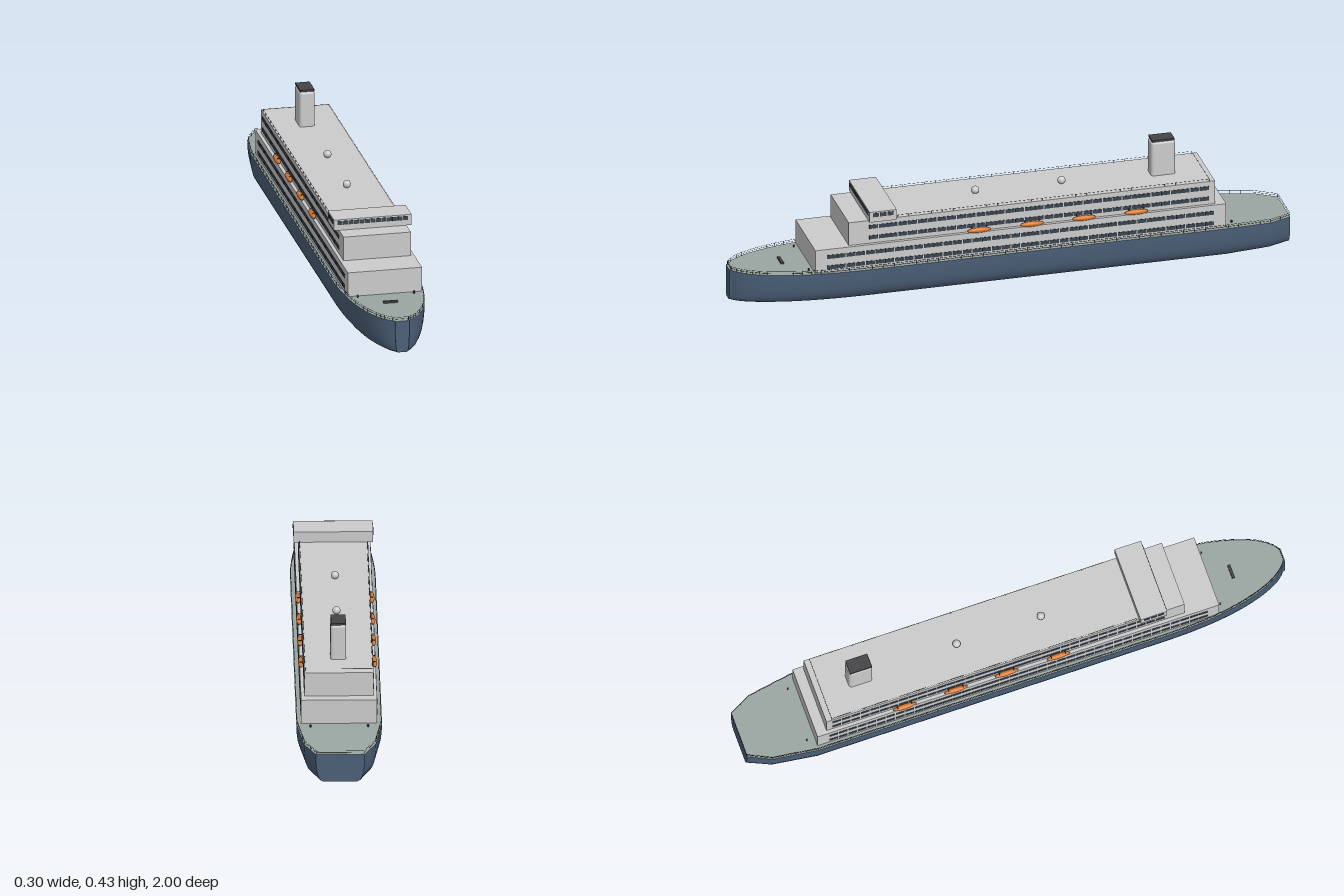
import * as THREE from 'three';
import { mergeGeometries } from 'three/addons/utils/BufferGeometryUtils.js';
import { RoundedBoxGeometry } from 'three/addons/geometries/RoundedBoxGeometry.js';

const mat = (color, side = THREE.FrontSide) => new THREE.MeshStandardMaterial({ color, side });
const grey = mat(0xcccccc);
const hullBlue = mat(0x4c6078);
const deckGreen = mat(0x9aa6a2);
const glass = mat(0x39444f);
const dark = mat(0x444448);
const orange = mat(0xd9772b);

// Half-beam and deck height along the length
const BOW = 0.5;
function beam(z) {
  if (z > BOW) return Math.max(0.025, 0.149 * Math.sqrt(1 - Math.pow((z - BOW) / (1 - BOW), 2.3)));
  if (z < -0.92) return 0.085 + (z + 1) / 0.08 * 0.04;
  if (z < -0.76) return 0.125 + (z + 0.92) / 0.16 * 0.024;
  return 0.149;
}
const deckY = (z) => (z < -0.76 ? 0.115 - (-0.76 - z) / 0.24 * 0.013 : 0.115);

// Section from the keel up to the deck edge: fraction of beam, fraction of depth
const SECTION = [[0.7, 0], [0.8, 0.04], [0.88, 0.15], [0.93, 0.28], [0.965, 0.45], [0.99, 0.7], [1, 1]];
const stations = [-1, -0.96, -0.92, -0.84, -0.76, -0.4, 0, 0.3];
for (let i = 0; i <= 24; i++) stations.push(BOW + (1 - BOW) * Math.sin(i / 24 * Math.PI / 2));

function hullSection(z) {
  const half = SECTION.map(([u, v]) => [u * beam(z), v * deckY(z)]);
  return [...half.slice().reverse(), ...half.map(([x, y]) => [-x, y])];
}

// Surface through a row of points at every station
function loft(rowAt) {
  const pos = [], index = [];
  stations.forEach((z, i) => {
    const row = rowAt(z), n = row.length;
    row.forEach(([x, y], j) => {
      pos.push(x, y, z);
      if (i && j) {
        const d = i * n + j, c = d - 1, b = d - n, a = b - 1;
        index.push(a, c, b, b, c, d);
      }
    });
  });
  const g = new THREE.BufferGeometry();
  g.setAttribute('position', new THREE.Float32BufferAttribute(pos, 3));
  g.setIndex(index);
  g.computeVertexNormals();
  return g;
}

function sectionCap(z) {
  return new THREE.ShapeGeometry(new THREE.Shape(hullSection(z).map(([x, y]) => new THREE.Vector2(x, y))));
}

const box = (w, h, d, x, y, z) => new THREE.BoxGeometry(w, h, d).translate(x, y, z);

// Railing: posts and horizontal bars along a polyline
function railing(points, height, levels, radius) {
  const parts = [];
  const bar = (a, b) => parts.push(new THREE.TubeGeometry(new THREE.LineCurve3(a, b), 1, radius, 4));
  const up = (p, h) => p.clone().setY(p.y + h);
  points.forEach((p, i) => {
    bar(p, up(p, height));
    if (i) for (const l of levels) bar(up(points[i - 1], height * l), up(p, height * l));
  });
  return mergeGeometries(parts);
}

export function createModel() {
  const ship = new THREE.Group();
  const add = (name, geometry, material = grey, parent = ship) => {
    const m = new THREE.Mesh(geometry, material);
    m.name = name;
    parent.add(m);
    return m;
  };

  // Hull
  add('hullShell', loft(hullSection), hullBlue);
  add('stem', sectionCap(1).translate(0, 0, 1), hullBlue);
  add('transom', sectionCap(-1).rotateY(Math.PI).translate(0, 0, -1), hullBlue);
  add('mainDeck', loft((z) => [[-beam(z), deckY(z)], [beam(z), deckY(z)]]), deckGreen);

  // Superstructure
  const tiers = [
    { name: 'lowerTier', half: 0.132, y0: 0.112, y1: 0.203, z0: -0.757, z1: 0.72, rows: [0.134, 0.174], w0: -0.715, w1: 0.68 },
    { name: 'upperTier', half: 0.12, y0: 0.203, y1: 0.29, z0: -0.72, z1: 0.597, rows: [0.225, 0.265], w0: -0.7, w1: 0.525 },
  ];
  for (const t of tiers) {
    add(t.name, box(t.half * 2, t.y1 - t.y0, t.z1 - t.z0, 0, (t.y0 + t.y1) / 2, (t.z0 + t.z1) / 2));
    // Window bands divided into panes
    const panes = [];
    const count = Math.round((t.w1 - t.w0) / 0.035), pitch = (t.w1 - t.w0) / count;
    for (const y of t.rows) for (const s of [-1, 1]) for (let i = 0; i < count; i++)
      panes.push(box(0.003, 0.014, pitch - 0.003, s * t.half, y, t.w0 + (i + 0.5) * pitch));
    add(t.name + 'Windows', mergeGeometries(panes), glass);
  }

  // Bridge
  const bridge = new THREE.Group();
  bridge.name = 'bridge';
  ship.add(bridge);
  add('bridgeHouse', box(0.276, 0.039, 0.097, 0, 0.3095, 0.478), grey, bridge);
  const bridgePanes = [];
  for (let i = 0; i < 13; i++) bridgePanes.push(box(0.0175, 0.014, 0.003, (i - 6) * 0.0194, 0.317, 0.5265));
  for (const s of [-1, 1]) for (let i = -1; i <= 1; i++)
    bridgePanes.push(box(0.003, 0.014, 0.022, s * 0.138, 0.317, 0.478 + i * 0.026));
  add('bridgeWindows', mergeGeometries(bridgePanes), glass, bridge);

  // Funnel
  add('funnel', new RoundedBoxGeometry(0.055, 0.14, 0.086, 3, 0.011).translate(0, 0.349, -0.56));
  add('funnelCap', box(0.051, 0.007, 0.08, 0, 0.4215, -0.56), dark);

  // Radar domes
  for (const z of [0.11, -0.2]) {
    add('radarDome', new THREE.SphereGeometry(0.014, 20, 14).translate(0, 0.303, z));
  }

  // Lifeboats on davits
  for (const s of [-1, 1]) for (const z of [0.13, -0.06, -0.247, -0.435]) {
    const boat = new THREE.Group();
    boat.name = 'lifeboat';
    boat.position.set(s * 0.128, 0.209, z);
    ship.add(boat);
    add('boatHull', new THREE.SphereGeometry(1, 18, 12).scale(0.0095, 0.0095, 0.043), orange, boat);
    for (const e of [-0.026, 0.026]) {
      add('davitArm', box(0.014, 0.002, 0.003, -s * 0.003, 0.012, e), dark, boat);
      add('davitPost', box(0.002, 0.018, 0.003, -s * 0.009, 0.003, e), dark, boat);
    }
  }

  // Main deck railing, round the whole hull edge
  const side = [];
  for (let z = -1; z < 0.7; z += 0.04) side.push(z);
  for (let i = 0; i <= 14; i++) side.push(0.7 + 0.295 * Math.sin(i / 14 * Math.PI / 2));
  const edge = (s) => side.map((z) => new THREE.Vector3(s * (beam(z) - 0.003), deckY(z), z));
  const loop = [...edge(1), ...edge(-1).reverse()];
  loop.push(loop[0].clone());
  add('deckRailing', railing(loop, 0.013, [0.5, 1], 0.0006), dark);

  // Roof railing
  const roof = [];
  for (let i = 0; i <= 28; i++) roof.push(new THREE.Vector3(0.117, 0.29, 0.42 - i * 0.04));
  const roofLoop = [...roof, ...roof.slice().reverse().map((p) => new THREE.Vector3(-p.x, p.y, p.z))];
  add('roofRailing', railing(roofLoop, 0.008, [1], 0.0005), dark);

  // Deck fittings
  add('windlass', box(0.05, 0.008, 0.01, 0, 0.118, 0.81), dark);
  for (const s of [-1, 1]) for (const z of [0.735, -0.785]) {
    add('bollard', new THREE.CylinderGeometry(0.003, 0.003, 0.009, 10).translate(s * 0.1, deckY(z) + 0.004, z), dark);
  }
  return ship;
}
